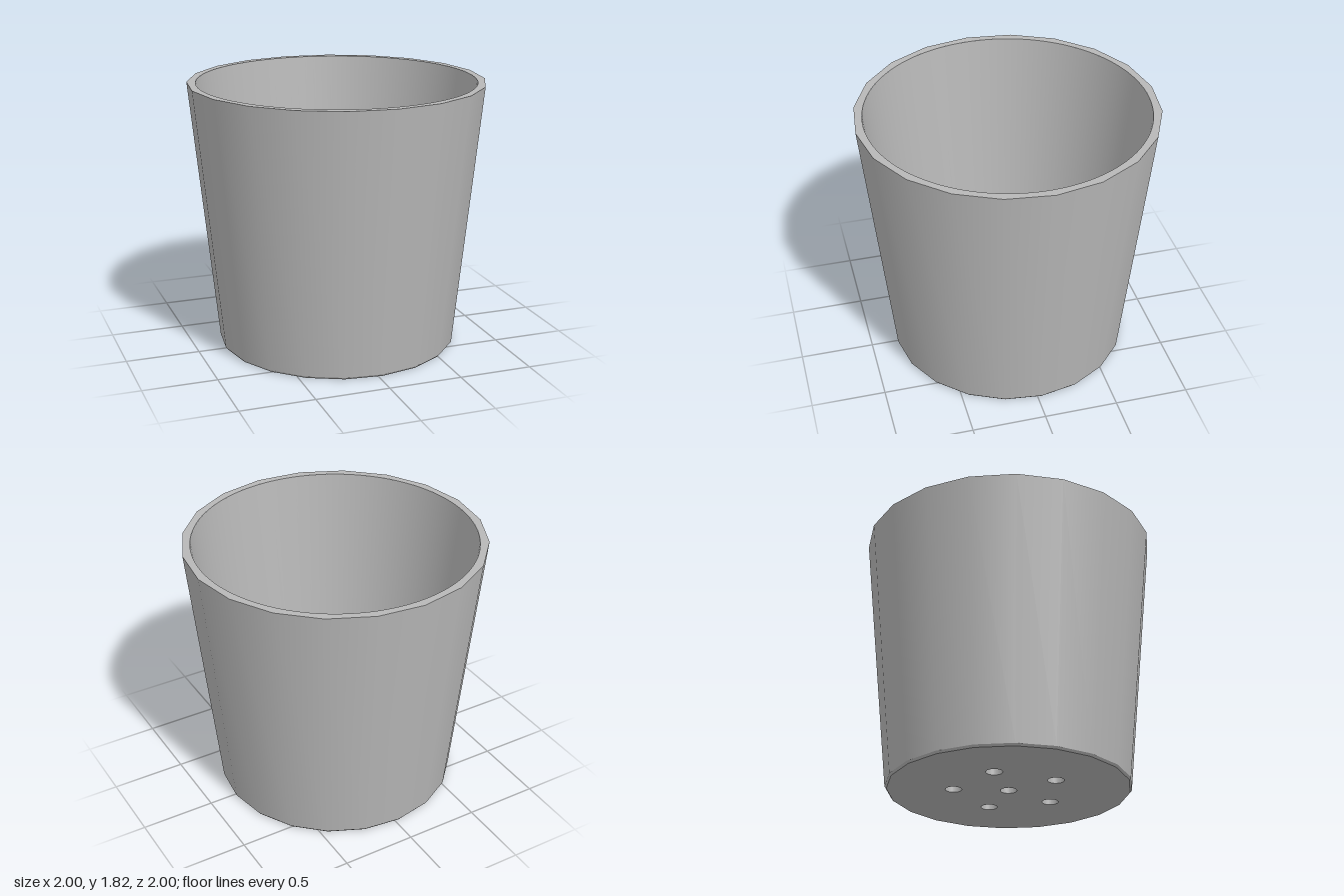
import * as THREE from 'three';

const SIDES = 20, TURN = 0.035;
const HEIGHT = 1.815, FLOOR = 0.1, BEVEL = 0.015;

const plastic = new THREE.MeshStandardMaterial({ color: 0xb8b8b8 });
plastic.name = 'grey plastic';

// Regular outline matching the faceted outside; drawn with shape y = -z
function outline(radius) {
  const points = [];
  for (let i = 0; i < SIDES; i++) {
    const a = TURN + (i / SIDES) * Math.PI * 2;
    points.push(new THREE.Vector2(Math.sin(a) * radius, -Math.cos(a) * radius));
  }
  return new THREE.Shape(points);
}

function roundHole(x, z, radius) {
  return new THREE.Path().absarc(x, -z, radius, 0, Math.PI * 2, true);
}

// Surface of revolution through [radius, height] pairs
function lathe(profile, segments) {
  return new THREE.LatheGeometry(profile.map(([r, y]) => new THREE.Vector2(r, y)), segments, TURN);
}

export function createModel() {
  const pot = new THREE.Group();
  pot.name = 'plantPot';
  const add = (name, geometry) => {
    const mesh = new THREE.Mesh(geometry, plastic);
    mesh.name = name;
    pot.add(mesh);
  };

  // Tapered outside, bevelled foot and round inside
  add('outerWall', lathe([[0.817, BEVEL], [1, HEIGHT]], SIDES));
  add('footBevel', lathe([[0.805, 0], [0.817, BEVEL]], SIDES));
  add('innerWall', lathe([[0.94, HEIGHT], [0.765, FLOOR]], 96));

  // Flat rim between the faceted outside and the round inside
  const rim = outline(1);
  rim.holes.push(roundHole(0, 0, 0.94));
  add('rim', new THREE.ShapeGeometry(rim, 96).rotateX(-Math.PI / 2).translate(0, HEIGHT, 0));

  // Floor with a centre drain hole and a ring of five
  const floor = outline(0.805);
  floor.holes.push(roundHole(0, 0, 0.055));
  for (let i = 0; i < 5; i++) {
    const a = -0.045 + (i / 5) * Math.PI * 2;
    floor.holes.push(roundHole(Math.cos(a) * 0.363, Math.sin(a) * 0.363, 0.055));
  }
  add('drainedFloor', new THREE.ExtrudeGeometry(floor, { depth: FLOOR, bevelEnabled: false, curveSegments: 32 })
    .rotateX(-Math.PI / 2));

  return pot;
}
